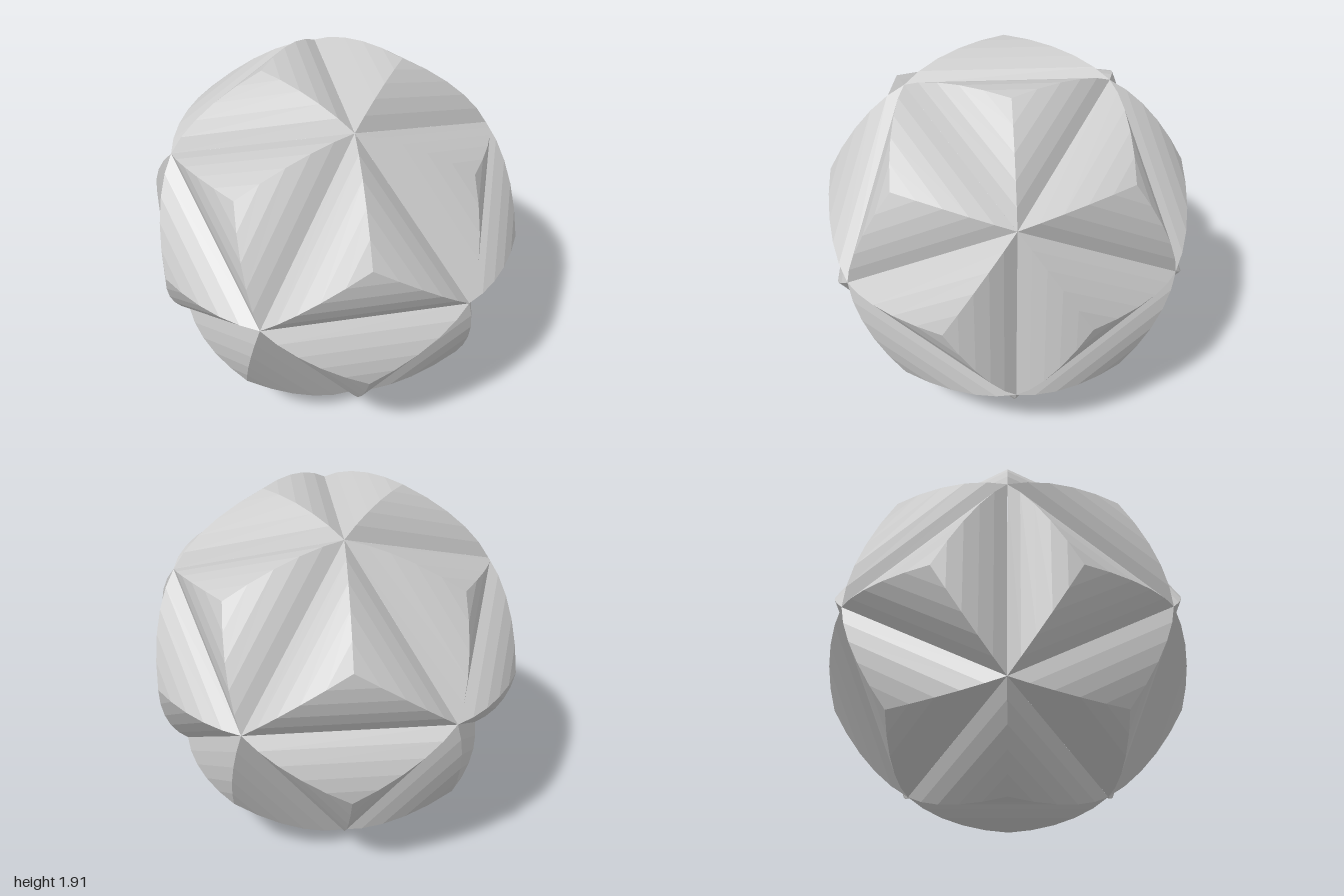
import * as THREE from 'three';

const STRIPS = 5;
const EDGE_DIST = 0.3035;                 // face centre to edge of a unit icosahedron
const RISE = 0.223;                       // height of each bump over its flat face
const A0 = THREE.MathUtils.degToRad(12.5); // slope of the arc at the apex
const A1 = THREE.MathUtils.degToRad(60);   // slope of the arc at the edge

// One puffed triangle: three curved sides with strips parallel to the edges,
// meeting in ridges that run from the corners to the apex.
function bumpGeometry() {
  const levels = [];
  for (let j = 0; j <= STRIPS; j++) {
    const a = A0 + (A1 - A0) * j / STRIPS;
    const s = EDGE_DIST * (Math.sin(a) - Math.sin(A0)) / (Math.sin(A1) - Math.sin(A0));
    const h = RISE * (Math.cos(a) - Math.cos(A1)) / (Math.cos(A0) - Math.cos(A1));
    levels.push([s, h]);
  }
  const point = (j, k) => {
    const a = Math.PI / 2 + k * Math.PI * 2 / 3;
    const [s, h] = levels[j];
    return [2 * s * Math.cos(a), 2 * s * Math.sin(a), h];
  };
  const pos = [];
  for (let k = 0; k < 3; k++) {
    for (let j = 0; j < STRIPS; j++) {
      const a = point(j + 1, k), b = point(j + 1, k + 1);
      const c = point(j, k + 1), d = point(j, k);
      pos.push(...a, ...b, ...c);
      if (j > 0) pos.push(...a, ...c, ...d);
    }
  }
  const geo = new THREE.BufferGeometry();
  geo.setAttribute('position', new THREE.Float32BufferAttribute(pos, 3));
  geo.computeVertexNormals();
  return geo;
}

// The 20 icosahedron faces, with one corner on the +z axis
function icosahedronFaces() {
  const pole = new THREE.Vector3(0, 0, 1);
  const r = 2 / Math.sqrt(5), z = 1 / Math.sqrt(5);
  const ring = i => {
    const a = i * Math.PI * 2 / 5;
    return new THREE.Vector3(r * Math.cos(a), r * Math.sin(a), z);
  };
  const faces = [];
  for (let i = 0; i < 5; i++) {
    const cap = [pole, ring(i), ring(i + 1)];
    const belt = [ring(i), ring(i + 3).negate(), ring(i + 1)];
    for (const f of [cap, belt]) {
      faces.push(f, f.map(v => v.clone().negate()));
    }
  }
  return faces;
}

export function createModel() {
  const group = new THREE.Group();
  group.name = 'puffedIcosahedron';
  const material = new THREE.MeshStandardMaterial({ color: 0xcccccc, flatShading: true });
  const geometry = bumpGeometry();
  const body = new THREE.Group();
  body.name = 'ball';
  body.position.y = 0.95;

  // Set one bump on every face
  icosahedronFaces().forEach((f, i) => {
    const centre = f[0].clone().add(f[1]).add(f[2]).divideScalar(3);
    const zAxis = centre.clone().normalize();
    const yAxis = f[0].clone().sub(centre).normalize();
    const xAxis = yAxis.clone().cross(zAxis);
    const mesh = new THREE.Mesh(geometry, material);
    mesh.name = `faceBump${i + 1}`;
    mesh.quaternion.setFromRotationMatrix(new THREE.Matrix4().makeBasis(xAxis, yAxis, zAxis));
    mesh.position.copy(centre);
    body.add(mesh);
  });
  group.add(body);
  return group;
}
